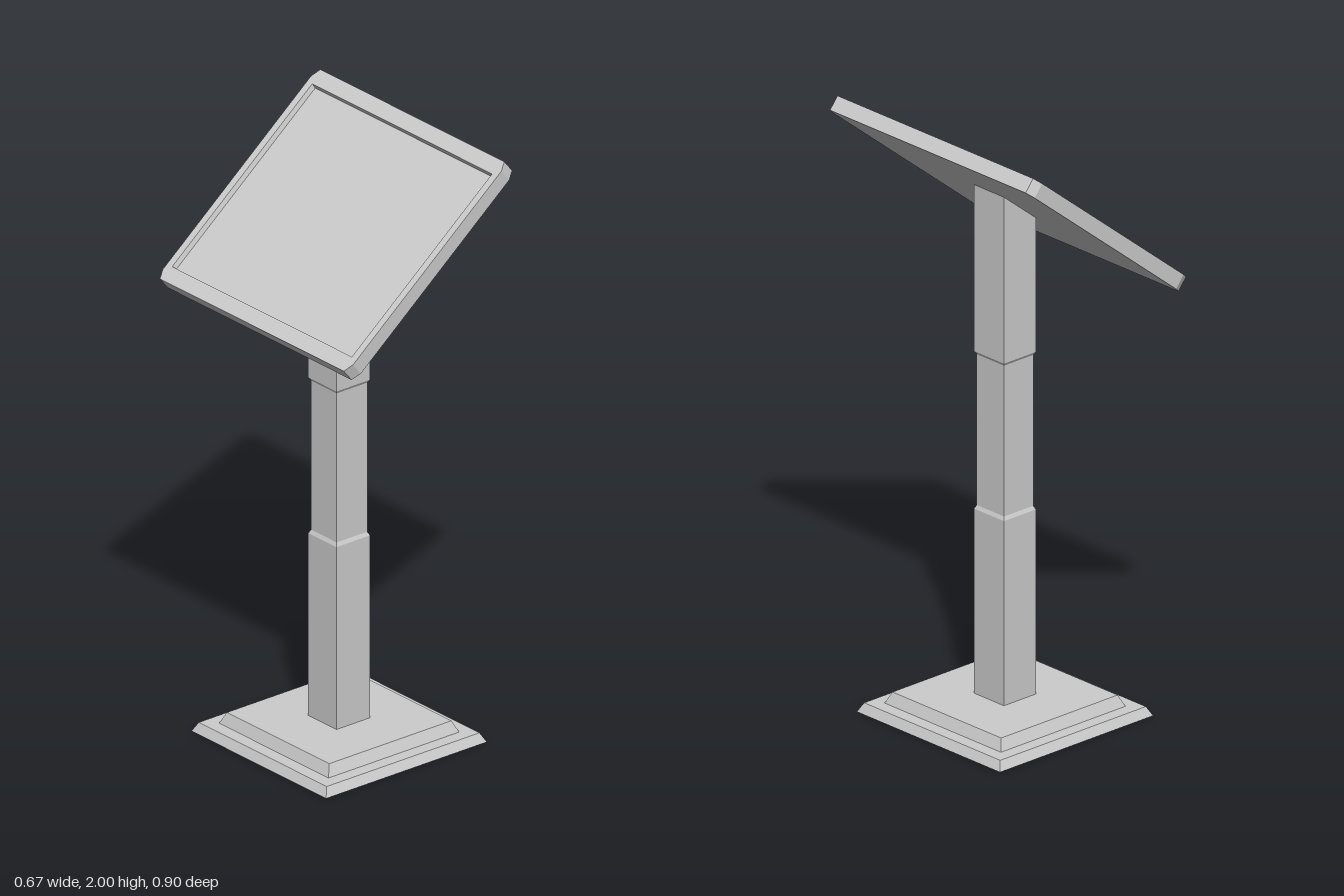
import * as THREE from 'three';

const material = new THREE.MeshStandardMaterial({ color: 0xcccccc, flatShading: true });
const CENTRE_X = 0.0125; // axis of base and column
const TILT = 0.678, COS = Math.cos(TILT), SIN = Math.sin(TILT);
const PANEL_Y = 1.724, THICK = 0.05, RECESS = 0.016;

function addMesh(parent, name, geometry) {
  const mesh = new THREE.Mesh(geometry, material);
  mesh.name = name;
  parent.add(mesh);
  return mesh;
}

// Four-sided solid from [half width, height] steps, closed at both ends
function squareProfile(steps) {
  const points = steps.map(([h, y]) => new THREE.Vector2(h * Math.SQRT2, y));
  points.unshift(new THREE.Vector2(0, steps[0][1]));
  points.push(new THREE.Vector2(0, steps[steps.length - 1][1]));
  return new THREE.LatheGeometry(points, 4, Math.PI / 4);
}

// Rectangle with clipped corners
function tracePanel(path, u, v, cu, cv) {
  path.setFromPoints([
    [u - cu, -v], [u, -v + cv], [u, v - cv], [u - cu, v],
    [-u + cu, v], [-u, v - cv], [-u, -v + cv], [-u + cu, -v],
  ].map(([a, b]) => new THREE.Vector2(a, b)));
  return path;
}

export function createModel() {
  const model = new THREE.Group();
  model.name = 'lectern';

  // Stepped base with sloping edges
  const base = addMesh(model, 'base', squareProfile([
    [0.32, 0], [0.304, 0.03], [0.26, 0.03], [0.243, 0.067],
  ]));
  base.position.x = CENTRE_X;

  // Column with a narrower middle, its top cut to the panel slope
  const columnGeometry = squareProfile([
    [0.067, 0.06], [0.067, 0.68], [0.061, 0.692], [0.061, 1.193], [0.067, 1.203], [0.067, 1.7],
  ]);
  const pos = columnGeometry.attributes.position;
  for (let i = 0; i < pos.count; i++) {
    if (pos.getY(i) < 1.6) continue;
    const x = pos.getX(i) + CENTRE_X;
    pos.setY(i, PANEL_Y + (x * SIN - THICK / 2) / COS + 0.006);
  }
  const column = addMesh(model, 'column', columnGeometry);
  column.position.x = CENTRE_X;

  // Tilted reading panel: solid slab below, raised rim around a shallow recess
  const panel = new THREE.Group();
  panel.name = 'readingPanel';
  panel.position.y = PANEL_Y;
  panel.rotation.z = TILT;
  model.add(panel);

  const slab = new THREE.ExtrudeGeometry(
    tracePanel(new THREE.Shape(), 0.41, 0.452, 0.031, 0.015),
    { depth: THICK - RECESS, bevelEnabled: false });
  slab.rotateX(-Math.PI / 2).translate(0, -THICK / 2, 0);
  addMesh(panel, 'panelSlab', slab);

  const rimShape = tracePanel(new THREE.Shape(), 0.41, 0.452, 0.031, 0.015);
  const u = 0.358, v = 0.427;
  rimShape.holes.push(new THREE.Path().setFromPoints(
    [[-u, -v], [-u, v], [u, v], [u, -v]].map(([a, b]) => new THREE.Vector2(a, b))));
  const rim = new THREE.ExtrudeGeometry(rimShape, { depth: RECESS, bevelEnabled: false });
  // Slope the recess walls slightly inward towards the floor
  const p = rim.attributes.position;
  for (let i = 0; i < p.count; i++) {
    if (p.getZ(i) < 0.001 && Math.abs(p.getX(i)) < 0.36 && Math.abs(p.getY(i)) < 0.43) {
      p.setXY(i, p.getX(i) * 0.99, p.getY(i) * 0.988);
    }
  }
  rim.rotateX(-Math.PI / 2).translate(0, THICK / 2 - RECESS, 0);
  addMesh(panel, 'panelRim', rim);

  return model;
}
